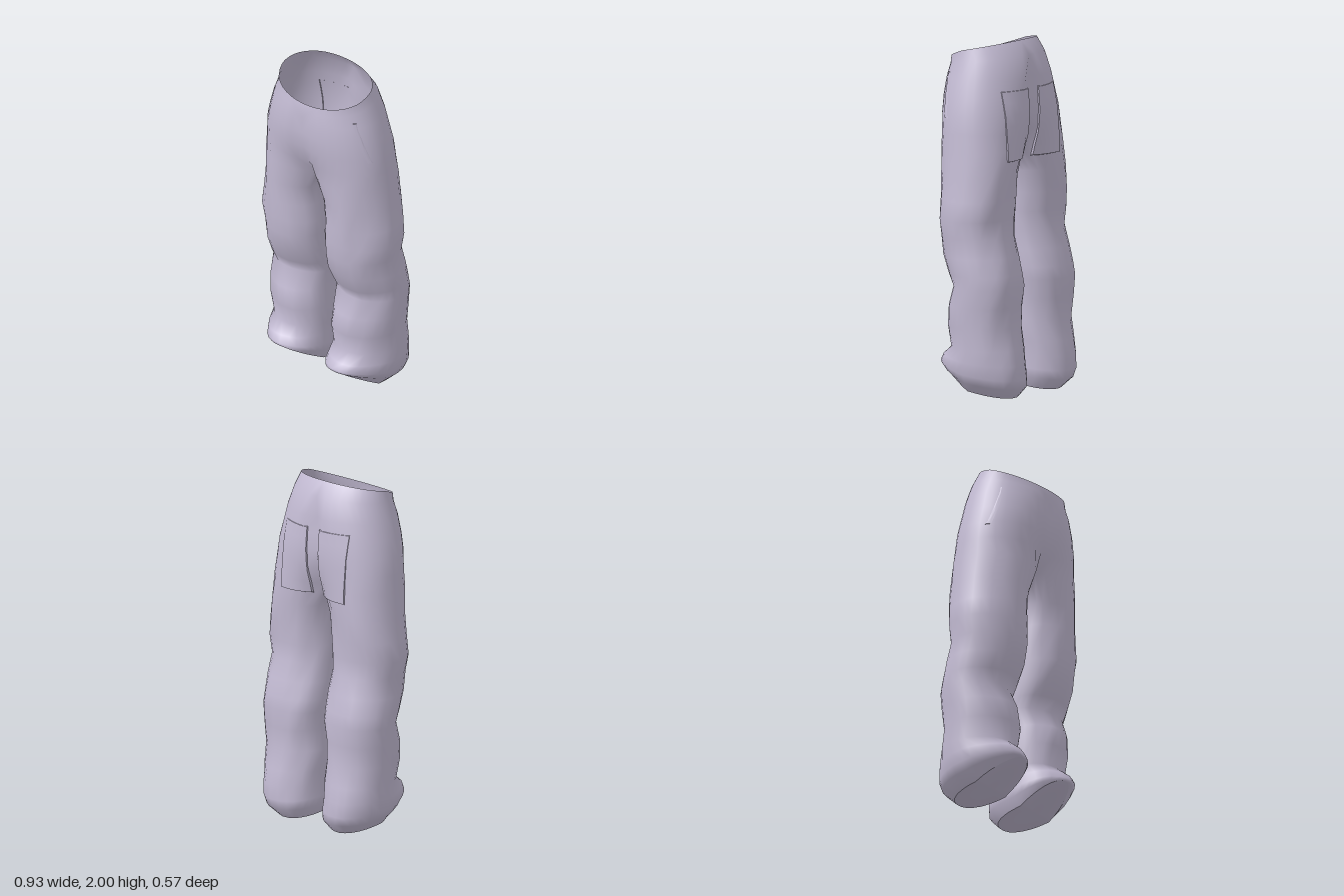
import * as THREE from 'three';
import { mergeVertices, toCreasedNormals } from 'three/addons/utils/BufferGeometryUtils.js';

// Rings, top to bottom: side height, outer x, inner x (virtual above the crotch), front z, back z
const RINGS = [
  [1.96, 0.30, -0.30, 0.265, -0.115],
  [1.90, 0.315, -0.315, 0.275, -0.17],
  [1.80, 0.35, -0.33, 0.285, -0.20],
  [1.70, 0.375, -0.30, 0.29, -0.21],
  [1.60, 0.40, -0.25, 0.28, -0.215],
  [1.50, 0.41, -0.16, 0.262, -0.21],
  [1.40, 0.42, -0.05, 0.25, -0.205],
  [1.25, 0.435, 0.027, 0.235, -0.20],
  [1.12, 0.45, 0.035, 0.235, -0.195],
  [1.01, 0.467, 0.025, 0.23, -0.185],
  [0.91, 0.442, 0.035, 0.225, -0.19],
  [0.80, 0.453, 0.03, 0.205, -0.22],
  [0.70, 0.45, 0.035, 0.16, -0.24],
  [0.63, 0.447, 0.037, 0.125, -0.25],
  [0.52, 0.443, 0.05, 0.175, -0.245],
  [0.40, 0.437, 0.04, 0.185, -0.24],
  [0.28, 0.43, 0.045, 0.16, -0.265],
  [0.21, 0.43, 0.05, 0.22, -0.28],
  [0.14, 0.425, 0.04, 0.245, -0.285],
  [0.09, 0.40, 0.045, 0.243, -0.28],
  [0.035, 0.34, 0.07, 0.235, -0.22],
];
const CROTCH = 6, LAST = RINGS.length - 1, OUTER = 20, INNER = 8, COUNT = OUTER + INNER;

// Tilted rings at the waist and hem: rise at front and at back
const RISE = {
  0: [-0.07, 0.04], 1: [-0.05, 0.02],
  17: [0.02, -0.02], 18: [0.05, -0.03], 19: [0.085, -0.03], 20: [0.135, -0.035],
};

// Corner roundness: 1 is an ellipse, less is boxier, more is more pointed
const INNER_POWER = 0.86, BACK_POWER = 0.92;
const frontPower = (y) => 0.98 + 0.2 * (1 - THREE.MathUtils.smoothstep(y, 1.1, 1.6))
  - 0.2 * Math.exp(-(((y - 0.64) / 0.1) ** 2));
const pow = (v, p) => Math.sign(v) * Math.abs(v) ** p;

// Centre creases at the fly and the seat
function crease(x, y, front) {
  if (y > 1.85 || y < 1.35) return 0;
  return front ? -0.014 * Math.exp(-((x / 0.05) ** 2)) : 0.034 * Math.exp(-((x / 0.035) ** 2));
}

// Point j of ring i on the +x side
function ringPoint(i, j) {
  const [y, xo, xi, zf, zb] = RINGS[i], [riseF, riseB] = RISE[i] ?? [0, 0];
  const cx = (xo + xi) / 2, a = (xo - xi) / 2, cz = (zf + zb) / 2, h = (zf - zb) / 2;
  const hip = i <= CROTCH;
  const start = hip ? Math.acos(-((cx / a) ** (1 / INNER_POWER))) : 0.78 * Math.PI;
  const at = (t) => {
    const cos = Math.cos(t), sin = Math.sin(t);
    const p = cos < 0 ? INNER_POWER : sin > 0 ? frontPower(y) : BACK_POWER;
    const s = pow(sin, p);
    const fold = hip || i > 18 || Math.abs(s) > 0.95 ? 0 : 0.006 * Math.sin(5 * t + 11 * y);
    const x = cx + a * pow(cos, p);
    return [x, y + Math.abs(s) * (s > 0 ? riseF : riseB), cz + (h + fold) * s + crease(x, y, s > 0)];
  };
  if (j <= OUTER) {
    const p = at(start * (1 - (2 * j) / OUTER));
    if (hip && (j === 0 || j === OUTER)) p[0] = 0;
    return p;
  }
  const k = (j - OUTER) / INNER;
  if (!hip) return at(-start - k * 2 * (Math.PI - start));
  // The saddle joining the two legs
  const b = at(-start), f = at(start);
  return [0, y - 0.08 * Math.sin(Math.PI * k), b[2] + (f[2] - b[2]) * k];
}

// Both halves of the cloth, welded along the centre seam
function clothGeometry() {
  const pos = [], idx = [];
  for (const s of [1, -1]) {
    const base = pos.length / 3;
    for (let i = 0; i <= LAST; i++) {
      for (let j = 0; j < COUNT; j++) {
        const [x, y, z] = ringPoint(i, j);
        pos.push(s * x, y, z);
      }
    }
    for (let i = 0; i < LAST; i++) {
      for (let j = 0; j < (i < CROTCH ? OUTER : COUNT); j++) {
        const a = base + i * COUNT + j, b = base + i * COUNT + ((j + 1) % COUNT);
        const c = a + COUNT, d = b + COUNT;
        if (s > 0) idx.push(a, c, b, b, c, d);
        else idx.push(a, b, c, b, d, c);
      }
    }
  }
  const g = new THREE.BufferGeometry();
  g.setAttribute('position', new THREE.Float32BufferAttribute(pos, 3));
  g.setIndex(idx);
  const welded = mergeVertices(g.toNonIndexed(), 1e-4);
  welded.computeVertexNormals();
  return welded;
}

// Panel closing the bottom of a leg
function hemGeometry(s) {
  const pos = [];
  const put = ([x, y, z]) => pos.push(s * x, y, z);
  for (let j = 0; j < COUNT; j++) {
    const a = ringPoint(LAST, j), b = ringPoint(LAST, (j + 1) % COUNT);
    put([0.205, 0.04, 0.007]);
    put(s > 0 ? b : a);
    put(s > 0 ? a : b);
  }
  const g = new THREE.BufferGeometry();
  g.setAttribute('position', new THREE.Float32BufferAttribute(pos, 3));
  return toCreasedNormals(g, 0.4);
}

// Depth of the cloth at (x, y), on the front or the back
function clothZ(x, y, front) {
  let i = 0;
  while (i < LAST - 1 && RINGS[i + 1][0] > y) i++;
  const A = RINGS[i], B = RINGS[i + 1], t = (A[0] - y) / (A[0] - B[0]);
  const [xo, xi, zf, zb] = [1, 2, 3, 4].map((k) => A[k] + (B[k] - A[k]) * t);
  const u = (x - (xo + xi) / 2) / ((xo - xi) / 2);
  const p = u < 0 ? INNER_POWER : front ? frontPower(y) : BACK_POWER;
  const side = (1 - Math.min(1, Math.abs(u)) ** (2 / p)) ** (p / 2) * (front ? 1 : -1);
  return (zf + zb) / 2 + ((zf - zb) / 2) * side + crease(x, y, front);
}

// Patch following the cloth and standing out more towards its lower end
function patchGeometry(outline, front, lift, s) {
  const n = 8, out = front ? 1 : -1;
  const g = new THREE.PlaneGeometry(1, 1, n, n), p = g.attributes.position;
  const squeeze = (q) => (q === 0 ? 0 : q === n ? 1 : 0.01 + (0.98 * (q - 1)) / (n - 2));
  for (let k = 0; k < p.count; k++) {
    const c = k % (n + 1), r = Math.floor(k / (n + 1));
    const rim = c === 0 || r === 0 || c === n || r === n;
    const [x, y] = outline(squeeze(c), squeeze(r));
    const raise = rim ? -0.004 : lift * (0.2 + 0.8 * squeeze(r));
    p.setXYZ(k, s * x, y, clothZ(x, y, front) + raise * out);
  }
  // Mirrored and rear patches need their faces turned round
  if (s * out < 0) {
    const ix = g.index;
    for (let k = 0; k < ix.count; k += 3) {
      const t = ix.getX(k);
      ix.setX(k, ix.getX(k + 1));
      ix.setX(k + 1, t);
    }
  }
  return toCreasedNormals(g, 0.7);
}

export function createModel() {
  const cloth = new THREE.MeshStandardMaterial({ color: 0xc2bad2, side: THREE.DoubleSide });
  cloth.name = 'lavender grey cloth';
  const model = new THREE.Group();
  model.name = 'trousers';
  const add = (name, geometry) => {
    const mesh = new THREE.Mesh(geometry, cloth);
    mesh.name = name;
    model.add(mesh);
  };

  add('hipsAndLegs', clothGeometry());

  for (const s of [1, -1]) {
    const side = s > 0 ? 'left' : 'right';
    add(side + 'HemPanel', hemGeometry(s));
    // Seat pocket, blending into the cloth at its top
    add(side + 'BackPocket', patchGeometry(
      (u, v) => [0.045 + 0.2 * u, 1.74 - 0.4 * v], false, 0.008, s));
    // Slanted hip pocket welt
    add(side + 'FrontPocketWelt', patchGeometry(
      (u, v) => [0.29 + 0.085 * v + 0.012 * u, 1.83 - 0.25 * v], true, 0.006, s));
  }
  return model;
}
